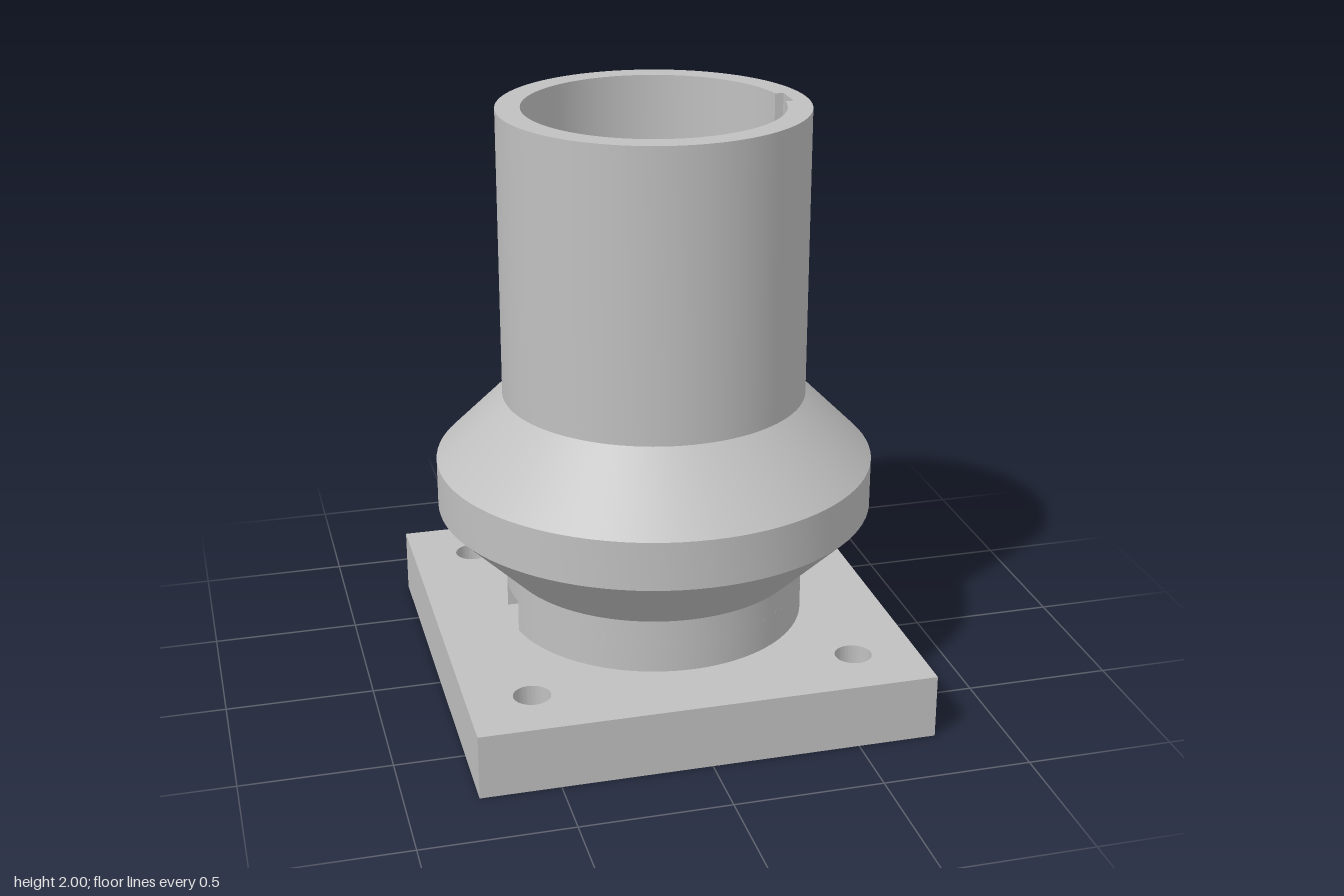
import * as THREE from 'three';
import { toCreasedNormals } from 'three/addons/utils/BufferGeometryUtils.js';

const R = 0.512, BORE = 0.43;            // tube radii
const PLATE_TOP = 0.22, SLOT_TOP = 0.33, TOP = 2;
const SLOT = 0.098, KEY = 0.055, KEY_X = 0.455; // half widths, keyway depth

// Points on an arc in plan (x, -z), counter-clockwise when a1 > a0
function arc(r, a0, a1, n = 96) {
  return Array.from({ length: n + 1 }, (_, i) => {
    const a = a0 + (a1 - a0) * i / n;
    return new THREE.Vector2(r * Math.cos(a), r * Math.sin(a));
  });
}

// Vertical wall around a closed plan outline, facing out when counter-clockwise
function wall(points, y0, y1) {
  const pos = [];
  points.forEach((p, i) => {
    const q = points[(i + 1) % points.length];
    const a = [p.x, y0, -p.y], b = [q.x, y0, -q.y], c = [q.x, y1, -q.y], d = [p.x, y1, -p.y];
    pos.push(...a, ...b, ...c, ...a, ...c, ...d);
  });
  const g = new THREE.BufferGeometry();
  g.setAttribute('position', new THREE.Float32BufferAttribute(pos, 3));
  return toCreasedNormals(g, 0.5);
}

// Horizontal face from a plan outline
function face(outline, hole, y, up = true) {
  const s = new THREE.Shape(outline);
  if (hole) s.holes.push(new THREE.Path(hole));
  return new THREE.ShapeGeometry(s).rotateX(up ? -Math.PI / 2 : Math.PI / 2).translate(0, y, 0);
}

export function createModel() {
  const group = new THREE.Group();
  const metal = new THREE.MeshStandardMaterial({ color: 0xc0c0c0 });
  metal.name = 'light grey';
  const add = (name, geometry) => {
    const m = new THREE.Mesh(geometry, metal);
    m.name = name;
    group.add(m);
    return m;
  };

  // Square base plate with four bolt holes
  const h = 0.765;
  const plate = new THREE.Shape([[-h, -h], [h, -h], [h, h], [-h, h]].map(p => new THREE.Vector2(...p)));
  for (const x of [-0.548, 0.548]) for (const y of [-0.548, 0.548]) {
    plate.holes.push(new THREE.Path().absarc(x, y, 0.062, 0, Math.PI * 2, true));
  }
  const plateGeo = new THREE.ExtrudeGeometry(plate, { depth: PLATE_TOP, bevelEnabled: false, curveSegments: 32 });
  add('basePlate', toCreasedNormals(plateGeo.rotateX(-Math.PI / 2), 0.5));

  // Outer skin: neck, conical collar and tube
  const profile = [[R, SLOT_TOP], [R, 0.405], [0.74, 0.632], [0.74, 0.798], [R, 1.025], [R, TOP]]
    .map(p => new THREE.Vector2(...p));
  add('collarAndTube', toCreasedNormals(new THREE.LatheGeometry(profile, 96), 0.5));

  // Bore with a keyway on the +x side, and the rim
  const k = Math.asin(KEY / BORE);
  const bore = [...arc(BORE, k, Math.PI * 2 - k), new THREE.Vector2(KEY_X, -KEY), new THREE.Vector2(KEY_X, KEY)];
  add('bore', wall([...bore].reverse(), SLOT_TOP, TOP));
  add('rim', face(arc(R, 0, Math.PI * 2).slice(0, -1), bore, TOP));

  // Two curved feet leave a side slot at each end of x
  const a = Math.asin(SLOT / R), b = Math.asin(SLOT / BORE);
  const foot = [...arc(R, a, Math.PI - a, 48), ...arc(BORE, Math.PI - b, b, 48)];
  for (const turn of [0, Math.PI]) {
    add('neckFoot', wall(foot, PLATE_TOP, SLOT_TOP)).rotation.y = turn;
  }

  // Slot ceilings; the +x one is notched by the keyway
  const keyNotch = [[KEY, BORE * Math.cos(k)], [KEY, KEY_X], [-KEY, KEY_X], [-KEY, BORE * Math.cos(k)]]
    .map(([y, x]) => new THREE.Vector2(x, y));
  const outer = arc(R, -a, a, 12);
  add('keyedSlotCeiling', face([...outer, ...arc(BORE, b, k, 4).slice(0, -1), ...keyNotch,
    ...arc(BORE, -k, -b, 4).slice(1)], null, SLOT_TOP, false));
  add('slotCeiling', face([...outer, ...arc(BORE, b, -b, 12)], null, SLOT_TOP, false)).rotation.y = Math.PI;

  return group;
}
